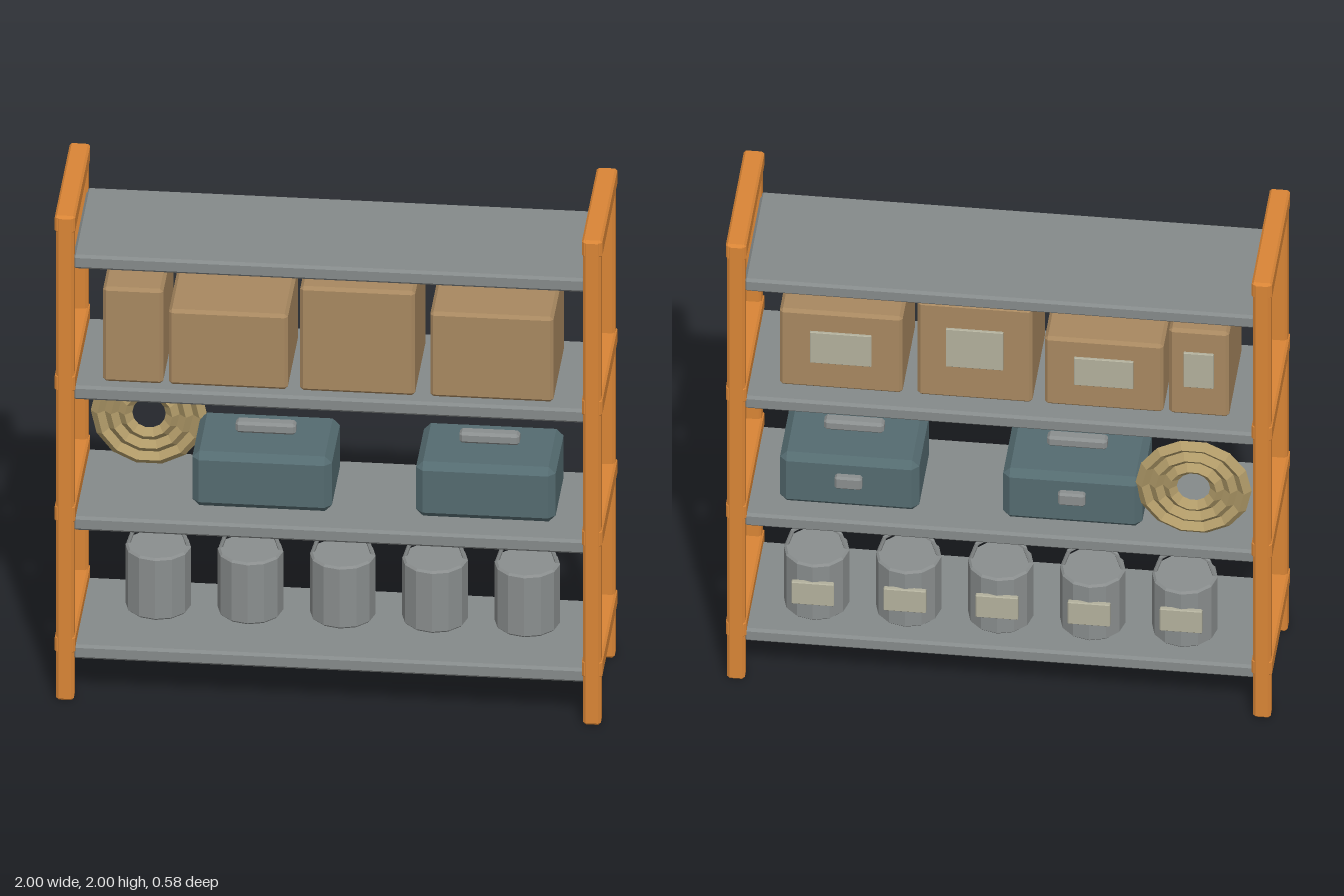
import * as THREE from 'three';
import { ConvexGeometry } from 'three/addons/geometries/ConvexGeometry.js';

const paint = (color) => new THREE.MeshStandardMaterial({ color, flatShading: true });

// Box with flat chamfers on every edge
function chamferBox(w, h, d, b) {
  const pts = [];
  for (const sx of [-1, 1]) for (const sy of [-1, 1]) for (const sz of [-1, 1]) {
    const x = w / 2, y = h / 2, z = d / 2;
    pts.push(
      new THREE.Vector3(sx * x, sy * (y - b), sz * (z - b)),
      new THREE.Vector3(sx * (x - b), sy * y, sz * (z - b)),
      new THREE.Vector3(sx * (x - b), sy * (y - b), sz * z)
    );
  }
  return new ConvexGeometry(pts);
}

export function createModel() {
  const model = new THREE.Group();
  model.name = 'storageShelf';
  const orange = paint(0xd98536), steel = paint(0x858a8a), cardboard = paint(0xa88860);
  const teal = paint(0x546b70), rope = paint(0xb09a68), tin = paint(0x8a8e8e);
  const paper = paint(0xb2b09c);

  const add = (parent, name, geometry, material, x, y, z) => {
    const mesh = new THREE.Mesh(geometry, material);
    mesh.name = name;
    mesh.position.set(x, y, z);
    parent.add(mesh);
    return mesh;
  };
  const group = (name, x, y, z) => {
    const g = new THREE.Group();
    g.name = name;
    g.position.set(x, y, z);
    model.add(g);
    return g;
  };

  // End frames: two posts and four cross rails each
  const postGeo = chamferBox(0.065, 2, 0.06, 0.01);
  const railGeo = chamferBox(0.075, 0.07, 0.57, 0.008);
  for (const side of [-1, 1]) {
    const frame = group(side > 0 ? 'leftFrame' : 'rightFrame', side * 0.9625, 0, 0);
    for (const z of [-0.258, 0.258]) add(frame, 'post', postGeo, orange, 0, 1, z);
    for (const y of [0.23, 0.77, 1.31, 1.965]) add(frame, 'crossRail', railGeo, orange, 0, y, 0);
  }

  // Shelf boards
  const boardGeo = chamferBox(1.87, 0.057, 0.53, 0.01);
  for (const top of [0.22, 0.75, 1.29, 1.83]) add(model, 'shelfBoard', boardGeo, steel, 0, top - 0.0285, 0);

  // Cardboard boxes: left edge, right edge, height
  for (const [x0, x1, h] of [[-0.83, -0.61, 0.39], [-0.59, -0.155, 0.31], [-0.11, 0.31, 0.43], [0.365, 0.815, 0.35]]) {
    const w = x1 - x0;
    const box = group('cardboardBox', (x0 + x1) / 2, 1.29, 0.02);
    add(box, 'carton', chamferBox(w, h, 0.405, 0.012), cardboard, 0, h / 2, 0);
    add(box, 'paperLabel', chamferBox(w * 0.5, h * 0.4, 0.012, 0.002), paper, 0, h * 0.55, -0.207);
  }

  // Tool boxes with a grip on the lid and a latch at the back
  for (const x of [-0.257, 0.56]) {
    const toolBox = group('toolBox', x, 0.75, -0.0175);
    add(toolBox, 'case', chamferBox(0.51, 0.225, 0.345, 0.026), teal, 0, 0.1125, 0);
    add(toolBox, 'grip', chamferBox(0.22, 0.045, 0.05, 0.01), tin, 0, 0.26, 0);
    add(toolBox, 'latch', chamferBox(0.1, 0.055, 0.04, 0.008), tin, 0, 0.132, -0.178);
  }

  // Coil of rope: concentric rings
  const coil = group('ropeCoil', -0.7, 0.957, -0.175);
  for (const r of [0.087, 0.137, 0.187]) add(coil, 'ropeRing', new THREE.TorusGeometry(r, 0.026, 4, 14), rope, 0, 0, 0);

  // Paint cans with chamfered rims, wire handle and back label
  const canProfile = [[0, 0], [0.112, 0], [0.12, 0.008], [0.12, 0.247], [0.112, 0.255], [0, 0.255]]
    .map(([r, y]) => new THREE.Vector2(r, y));
  const canGeo = new THREE.LatheGeometry(canProfile, 12);
  const handleGeo = new THREE.TorusGeometry(0.108, 0.008, 6, 5, Math.PI);
  const tagGeo = chamferBox(0.155, 0.1, 0.02, 0.003);
  for (let i = 0; i < 5; i++) {
    const can = group('paintCan', -0.656 + i * 0.337, 0.22, -0.07);
    add(can, 'canBody', canGeo, tin, 0, 0, 0);
    add(can, 'wireHandle', handleGeo, tin, 0, 0.255, 0);
    add(can, 'canLabel', tagGeo, paper, 0, 0.13, -0.118);
  }

  return model;
}
